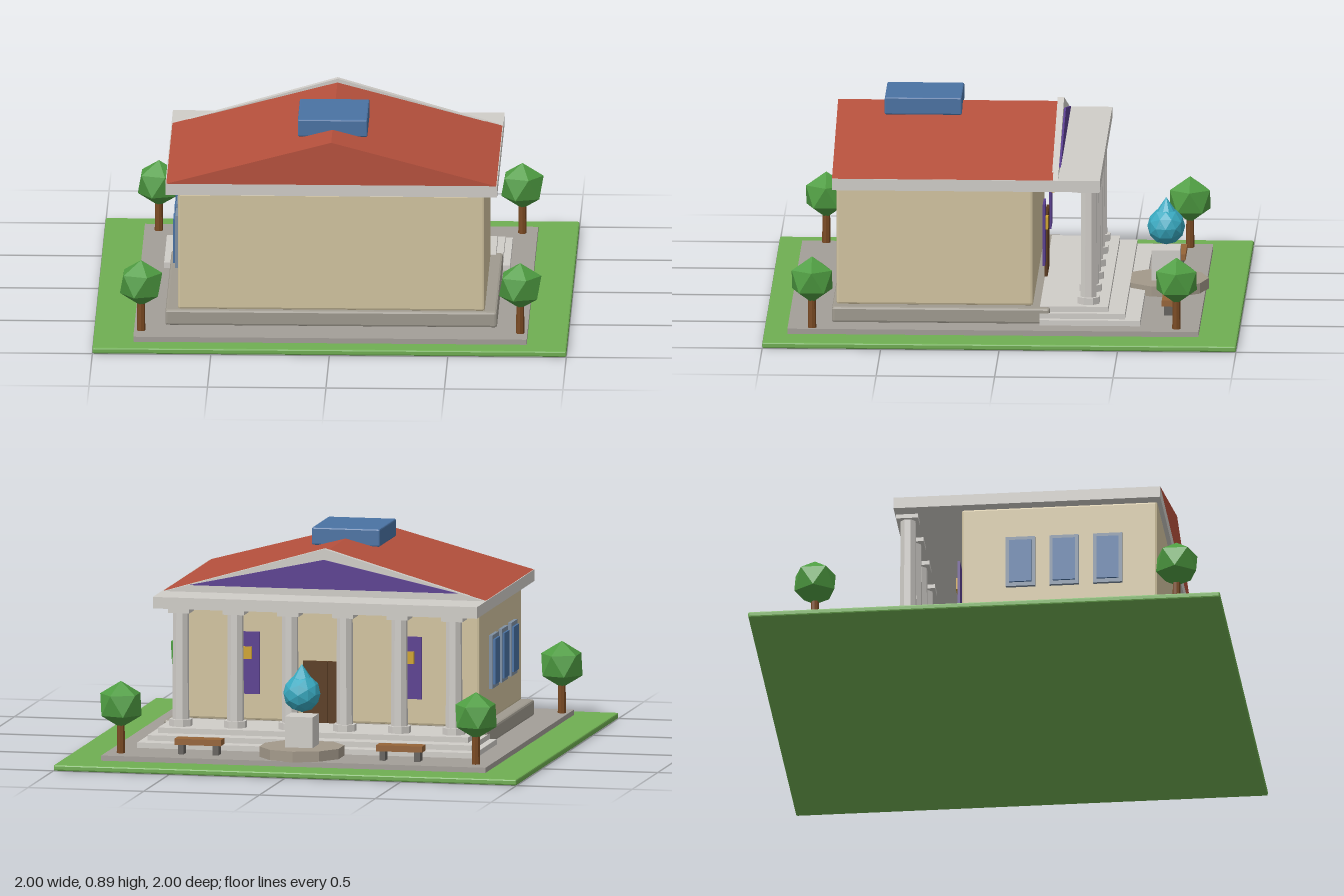
import * as THREE from 'three';
import { RoundedBoxGeometry } from 'three/addons/geometries/RoundedBoxGeometry.js';

const mat = (color, side = THREE.FrontSide) => new THREE.MeshStandardMaterial({ color, flatShading: true, side });
const M = {
  grass: mat(0x6fae52), paving: mat(0xa39e98), plinth: mat(0x9f9a8f), stone: mat(0xd0cdc8),
  wall: mat(0xd2c4a0), roof: mat(0xb5503c), purple: mat(0x5b3f91), glass: mat(0x4a72a3),
  frame: mat(0x7f90a3), door: mat(0x5a3a1e), gold: mat(0xd0a52e), wood: mat(0x966438),
  trunk: mat(0x7a4a22), leaf: mat(0x4f9d42), water: mat(0x38a9c0), leg: mat(0x66635f),
  fountain: mat(0xa3998a),
};

export function createModel() {
  const model = new THREE.Group();
  model.name = 'colonnadedHall';

  const add = (name, geometry, material, x = 0, y = 0, z = 0, parent = model) => {
    const mesh = new THREE.Mesh(geometry, material);
    mesh.name = name;
    mesh.position.set(x, y, z);
    parent.add(mesh);
    return mesh;
  };
  // Box given by its extents; a bevel softens the edges
  const box = (name, material, [x0, x1], [y0, y1], [z0, z1], bevel = 0, parent = model) => {
    const s = [x1 - x0, y1 - y0, z1 - z0];
    const g = bevel ? new RoundedBoxGeometry(...s, 1, bevel) : new THREE.BoxGeometry(...s);
    return add(name, g, material, (x0 + x1) / 2, (y0 + y1) / 2, (z0 + z1) / 2, parent);
  };
  // Triangular prism running along z
  const gable = (name, material, half, y0, y1, z0, z1) => {
    const shape = new THREE.Shape([
      new THREE.Vector2(-half, y0), new THREE.Vector2(half, y0), new THREE.Vector2(0, y1)]);
    return add(name, new THREE.ExtrudeGeometry(shape, { depth: z1 - z0, bevelEnabled: false }), material, 0, 0, z0);
  };
  const group = (name, x = 0, z = 0) => {
    const g = new THREE.Group();
    g.name = name;
    g.position.set(x, 0, z);
    model.add(g);
    return g;
  };

  // Grounds
  box('lawn', M.grass, [-1, 1], [0, 0.025], [-1, 1], 0.006);
  box('plaza', M.paving, [-0.83, 0.83], [0.02, 0.047], [-0.835, 0.9]);

  // Steps up to the porch
  [[0.73, -0.585], [0.7, -0.52], [0.67, -0.448]].forEach(([half, front], i) =>
    box('step', M.stone, [-half, half], [0.045 + i * 0.023, 0.07 + i * 0.023], [front, -0.16]));

  // Main building
  box('foundation', M.plinth, [-0.7, 0.7], [0.045, 0.114], [-0.203, 0.717], 0.01);
  box('walls', M.wall, [-0.648, 0.648], [0.112, 0.622], [-0.13, 0.7], 0.01);
  box('entablature', M.stone, [-0.7, 0.7], [0.618, 0.667], [-0.414, 0.717]);
  gable('roof', M.roof, 0.7, 0.666, 0.852, -0.215, 0.717);
  gable('pediment', M.stone, 0.69, 0.667, 0.868, -0.237, -0.21);
  gable('pedimentPanel', M.purple, 0.58, 0.697, 0.822, -0.245, -0.236);
  box('skylight', M.glass, [-0.147, 0.147], [0.82, 0.895], [0.19, 0.515], 0.006);

  // Columns
  for (let i = 0; i < 6; i++) {
    const column = group('column', -0.59 + i * 0.236, -0.363);
    add('columnBase', new THREE.CylinderGeometry(0.05, 0.05, 0.03, 8).rotateY(Math.PI / 8), M.stone, 0, 0.13, 0, column);
    add('columnShaft', new THREE.CylinderGeometry(0.034, 0.036, 0.46, 8).rotateY(Math.PI / 8), M.stone, 0, 0.373, 0, column);
    box('columnCapital', M.stone, [-0.046, 0.046], [0.6, 0.62], [-0.046, 0.046], 0, column);
  }

  // Double door, banners and emblems
  for (const s of [-1, 1]) {
    add('doorLeaf', new THREE.BoxGeometry(0.102, 0.265, 0.012), M.door, s * 0.053, 0.2465, -0.165);
    add('banner', new THREE.BoxGeometry(0.115, 0.265, 0.01), M.purple, s * 0.35, 0.363, -0.167);
    add('bannerEmblem', new THREE.BoxGeometry(0.052, 0.052, 0.012), M.gold, s * 0.35, 0.407, -0.177);
  }

  // Windows on the right wall
  for (const z of [0.12, 0.305, 0.49]) {
    box('windowFrame', M.frame, [-0.663, -0.645], [0.25, 0.478], [z - 0.062, z + 0.062]);
    box('windowPane', M.glass, [-0.672, -0.655], [0.267, 0.46], [z - 0.047, z + 0.047]);
  }

  // Fountain with a water drop
  const fountain = group('fountain', 0, -0.668);
  add('fountainBasin', new THREE.CylinderGeometry(0.18, 0.18, 0.046, 10), M.fountain, 0, 0.068, 0, fountain);
  box('fountainPedestal', M.stone, [-0.06, 0.06], [0.09, 0.222], [-0.06, 0.06], 0, fountain);
  add('dropBody', new THREE.IcosahedronGeometry(0.08, 1), M.water, 0, 0.315, 0, fountain);
  add('dropTip', new THREE.ConeGeometry(0.075, 0.11, 10), M.water, 0, 0.385, 0, fountain);

  // Benches
  for (const s of [-1, 1]) {
    const bench = group('bench', s * 0.435, -0.703);
    box('benchSeat', M.wood, [-0.1, 0.1], [0.088, 0.114], [-0.034, 0.034], 0, bench);
    for (const e of [-1, 1])
      add('benchLeg', new THREE.BoxGeometry(0.025, 0.045, 0.05), M.leg, e * 0.075, 0.067, 0, bench);
  }

  // Trees, one near each corner; crowns stand on a vertex
  for (const [x, z] of [[-0.768, -0.74], [0.766, -0.74], [-0.8, 0.797], [0.8, 0.797]]) {
    const tree = group('tree', x, z);
    add('treeTrunk', new THREE.CylinderGeometry(0.016, 0.018, 0.14, 8), M.trunk, 0, 0.115, 0, tree);
    add('treeCrown', new THREE.IcosahedronGeometry(0.1, 0).rotateZ(-0.5536), M.leaf, 0, 0.254, 0, tree);
  }
  return model;
}
